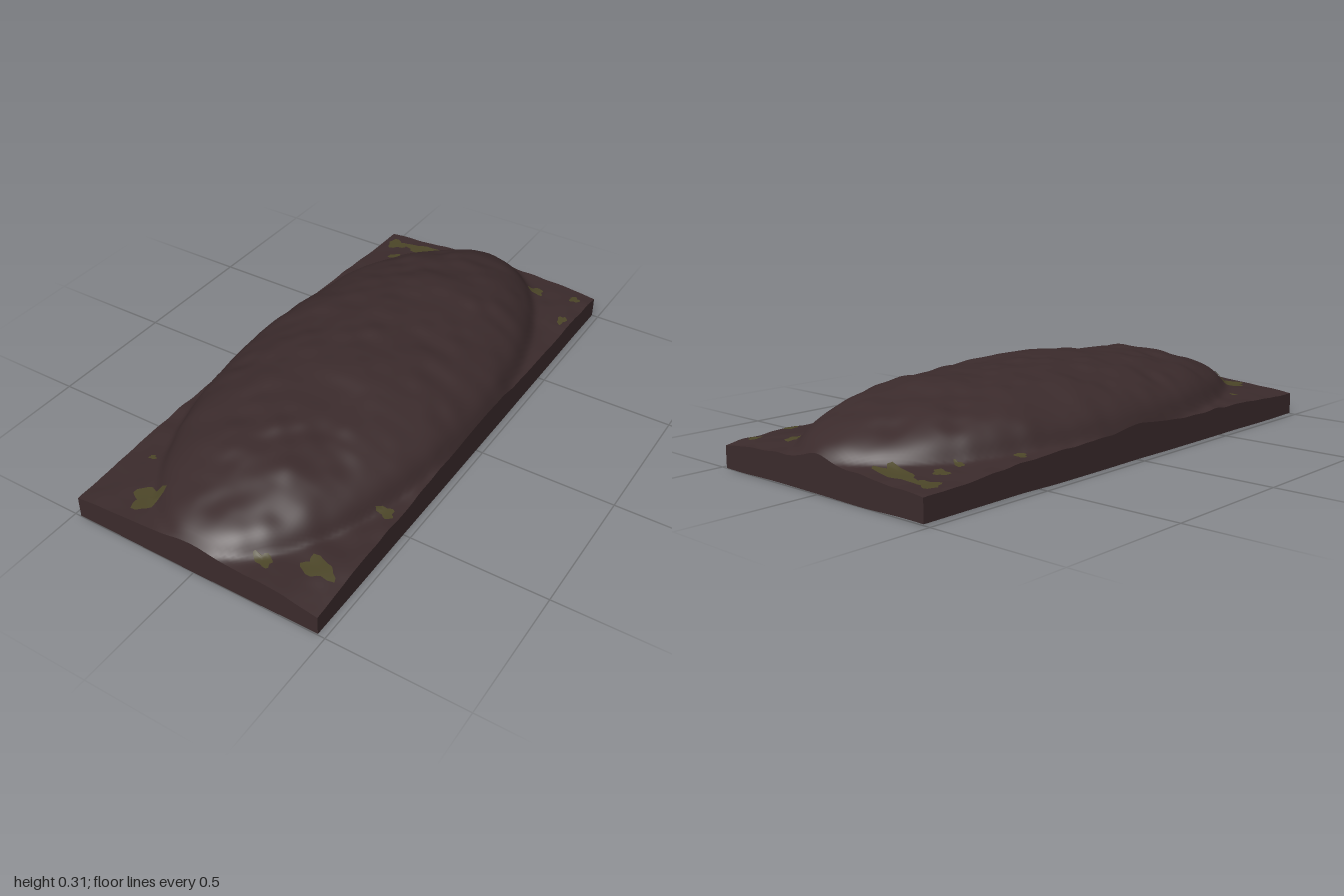
import * as THREE from 'three';

const HX = 0.475, HZ = 1;

// Smooth seeded value noise, -1..1
function hash(i, j) {
  const s = Math.sin(i * 127.1 + j * 311.7 + 17) * 43758.5453;
  return (s - Math.floor(s)) * 2 - 1;
}
function noise(x, z) {
  const i = Math.floor(x), j = Math.floor(z);
  const u = THREE.MathUtils.smoothstep(x - i, 0, 1);
  const v = THREE.MathUtils.smoothstep(z - j, 0, 1);
  const { lerp } = THREE.MathUtils;
  return lerp(lerp(hash(i, j), hash(i + 1, j), u), lerp(hash(i, j + 1), hash(i + 1, j + 1), u), v);
}
const lumps = (x, z) => 0.65 * noise(x * 6, z * 6) + 0.35 * noise(x * 15 + 40, z * 15);

// Ground height: slab edge drooping at the corners, with a long oval mound
function height(x, z) {
  const u = x / HX, v = z / 1.005;
  const s = 1 - u * u - v * v;
  const soft = (s + Math.sqrt(s * s + 0.0006)) / 2;
  const dome = Math.pow(soft, 0.46);
  return 0.096 - 0.02 * Math.pow(u * v, 4) + 0.009 * lumps(x + 7, z)
    + 0.208 * dome + 0.011 * lumps(x, z) * Math.min(1, dome * 2);
}

const bottom = (x, z) => 0.004 + 0.003 * noise(x * 5, z * 5);

// Warps a grid by a rule: (u, v) in 0..1 to a point
function sheet(name, material, nu, nv, rule) {
  const geo = new THREE.PlaneGeometry(1, 1, nu, nv);
  const pos = geo.attributes.position;
  for (let i = 0; i < pos.count; i++) {
    pos.setXYZ(i, ...rule(pos.getX(i) + 0.5, pos.getY(i) + 0.5));
  }
  geo.computeVertexNormals();
  const mesh = new THREE.Mesh(geo, material);
  mesh.name = name;
  return mesh;
}

// Irregular thin patch lying on the ground
function patch(material, x, z, rx, rz, seed) {
  const n = 20, rings = 4;
  const points = [], index = [];
  for (let k = 0; k <= rings; k++) {
    for (let i = 0; i < n; i++) {
      const a = i / n * Math.PI * 2;
      const jag = 1 + 0.2 * Math.sin(3 * a + seed * 2) + 0.15 * Math.sin(5 * a + seed * 5);
      const px = THREE.MathUtils.clamp(x + rx * jag * k / rings * Math.cos(a), -HX, HX);
      const pz = THREE.MathUtils.clamp(z + rz * jag * k / rings * Math.sin(a), -HZ, HZ);
      points.push(px, height(px, pz) + 0.005, pz);
      if (k < rings) {
        const p = k * n + i, q = k * n + (i + 1) % n;
        index.push(p, q, p + n, q, q + n, p + n);
      }
    }
  }
  const geo = new THREE.BufferGeometry();
  geo.setAttribute('position', new THREE.Float32BufferAttribute(points, 3));
  geo.setIndex(index);
  geo.computeVertexNormals();
  const mesh = new THREE.Mesh(geo, material);
  mesh.name = 'mossPatch';
  return mesh;
}

export function createModel() {
  const group = new THREE.Group();
  group.name = 'earthMound';
  const soil = new THREE.MeshStandardMaterial({ color: 0x3b2b2c });
  soil.name = 'darkSoil';
  const moss = new THREE.MeshStandardMaterial({ color: 0x4c4628, side: THREE.DoubleSide });
  moss.name = 'oliveMoss';

  // Mound surface
  group.add(sheet('moundTop', soil, 80, 160, (u, v) => {
    const x = (u * 2 - 1) * HX, z = (1 - v * 2) * HZ;
    return [x, height(x, z), z];
  }));

  // Hollow underside: a shallower mound, dropping to the lip at its edge
  const LIP = 0.042, LIP_Y = 0.02;
  group.add(sheet('mossHollow', moss, 72, 144, (u, v) => {
    const x = (1 - u * 2) * (HX - LIP), z = (1 - v * 2) * (HZ - LIP);
    const inset = Math.min(HX - Math.abs(x), HZ - Math.abs(z));
    const rise = THREE.MathUtils.smoothstep(inset, LIP, 0.08);
    return [x, THREE.MathUtils.lerp(LIP_Y, 0.035 + 0.5 * height(x, z), rise), z];
  }));

  // Rounded lip profile: inset from the edge, height
  const lip = [[0.013, 0.011], [0.02, 0.005], [0.03, 0.006], [LIP, LIP_Y]];

  // Four sides: outer wall, soil rim and moss lip
  for (const [nx, nz] of [[0, 1], [1, 0], [0, -1], [-1, 0]]) {
    const at = (s, inset) => [
      nx * (HX - inset) + nz * s * (HX - inset),
      nz * (HZ - inset) - nx * s * (HZ - inset),
    ];
    const n = nz ? 80 : 160;
    group.add(sheet('sideWall', soil, n, 3, (u, v) => {
      const [x, z] = at(u * 2 - 1, 0);
      return [x, THREE.MathUtils.lerp(bottom(x, z), height(x, z), v), z];
    }));
    group.add(sheet('bottomRim', soil, n, 1, (u, v) => {
      const [x, z] = at(1 - u * 2, v * 0.013);
      return [x, v > 0.5 ? 0.011 : bottom(x, z), z];
    }));
    group.add(sheet('mossLip', moss, 8, 3, (u, v) => {
      const [inset, y] = lip[Math.round(v * 3)];
      const [x, z] = at(1 - u * 2, inset);
      return [x, y, z];
    }));
  }

  // Moss showing through near the corners: x, z, radii
  const patches = [
    [-0.41, -0.92, 0.042, 0.032], [-0.285, -0.925, 0.085, 0.036], [-0.36, -0.82, 0.028, 0.022],
    [-0.35, -0.735, 0.018, 0.014], [-0.43, -0.545, 0.02, 0.018], [0.27, -0.88, 0.03, 0.025],
    [0.42, -0.925, 0.02, 0.02], [0.44, -0.76, 0.016, 0.028], [0.43, 0.54, 0.028, 0.022],
    [0.38, 0.855, 0.056, 0.038], [-0.26, 0.9, 0.052, 0.05], [0.225, 0.925, 0.032, 0.022],
    [-0.38, 0.73, 0.014, 0.01],
  ];
  patches.forEach((p, i) => group.add(patch(moss, ...p, i + 1)));

  return group;
}
